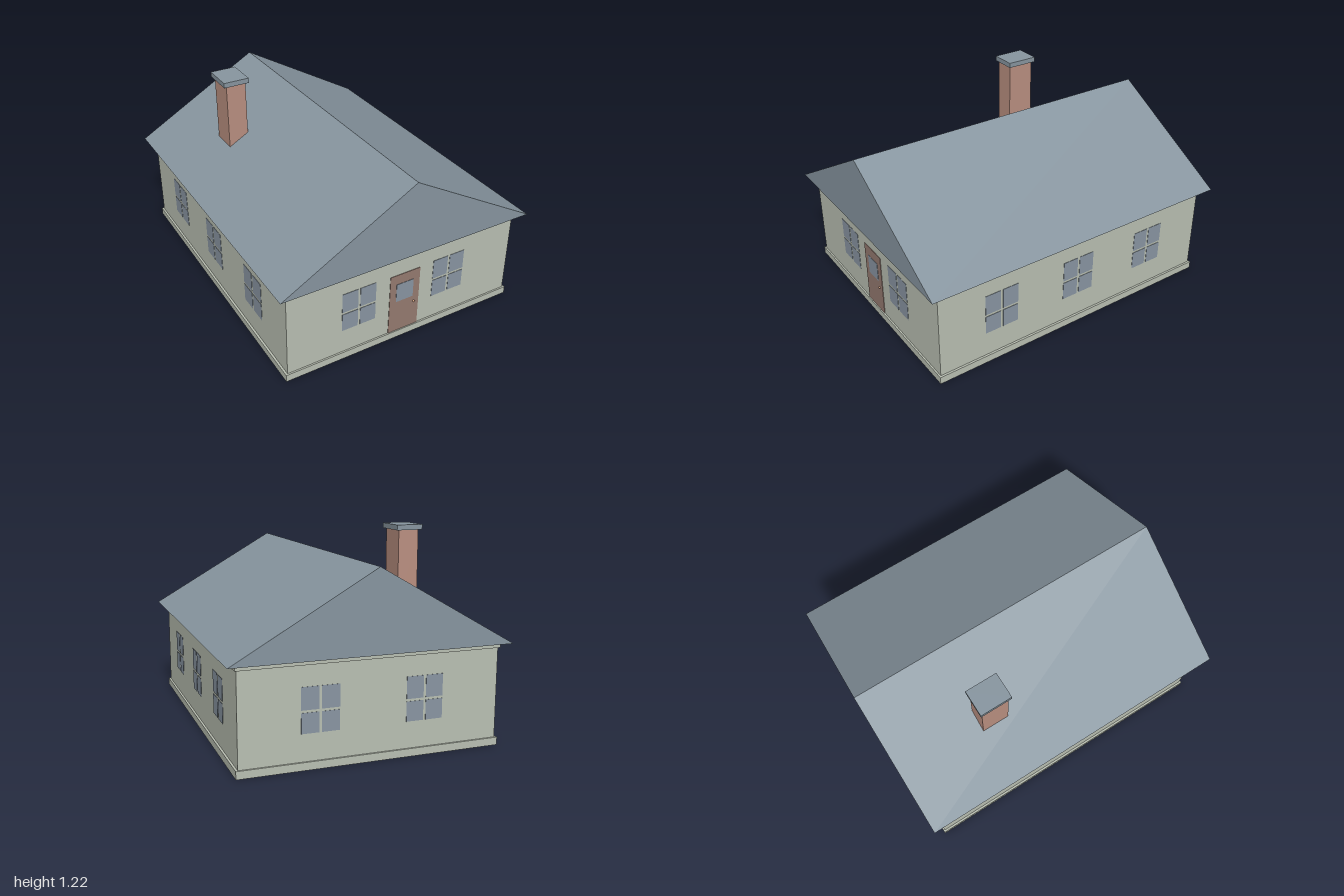
import * as THREE from 'three';

const mat = (name, color) => {
  const m = new THREE.MeshStandardMaterial({ color });
  m.name = name;
  return m;
};

export function createModel() {
  const house = new THREE.Group();
  house.name = 'house';
  const wall = mat('pale sage walls', 0xb9bfb2);
  const slate = mat('slate roof', 0x87959f);
  const brick = mat('chimney brick', 0xb98f80);
  const wood = mat('door wood', 0x957a70);
  const glass = mat('window glass', 0x8995a2);
  const brass = mat('brass', 0xcf9f7c);

  // Box given by its lower and upper limits
  const box = (name, material, [x0, x1], [y0, y1], [z0, z1], parent = house) => {
    const mesh = new THREE.Mesh(new THREE.BoxGeometry(x1 - x0, y1 - y0, z1 - z0), material);
    mesh.position.set((x0 + x1) / 2, (y0 + y1) / 2, (z0 + z1) / 2);
    mesh.name = name;
    parent.add(mesh);
    return mesh;
  };

  // Body: plinth, walls and frieze under the eaves
  box('plinth', wall, [-0.763, 0.763], [0, 0.045], [-0.95, 0.95]);
  box('walls', wall, [-0.75, 0.75], [0.045, 0.567], [-0.94, 0.94]);
  box('frieze', wall, [-0.76, 0.76], [0.567, 0.597], [-0.95, 0.95]);

  // Gabled roof prism
  const gable = new THREE.Shape();
  gable.moveTo(-0.81, 0.597);
  gable.lineTo(0.81, 0.597);
  gable.lineTo(0, 1.06);
  gable.closePath();
  const roofGeometry = new THREE.ExtrudeGeometry(gable, { depth: 2, bevelEnabled: false });
  roofGeometry.translate(0, 0, -1);
  const roof = new THREE.Mesh(roofGeometry, slate);
  roof.name = 'roof';
  house.add(roof);

  // Chimney on the right slope
  box('chimney', brick, [-0.485, -0.36], [0.7, 1.19], [-0.46, -0.29]);
  box('chimneyCap', slate, [-0.503, -0.342], [1.19, 1.221], [-0.475, -0.278]);

  // Four thin panes around a cross of bare wall
  const addWindow = (name, width, x, z, turn) => {
    const group = new THREE.Group();
    group.name = name;
    const w = width / 2, g = 0.007;
    for (const xs of [[-w, -g], [g, w]])
      for (const ys of [[0.198, 0.311], [0.325, 0.45]])
        box('pane', glass, xs, ys, [-0.002, 0.002], group);
    group.position.set(x, 0, z);
    group.rotation.y = turn;
    house.add(group);
  };
  for (const s of [-1, 1]) {
    addWindow('frontWindow', 0.216, s * 0.301, 0.94, 0);
    addWindow('backWindow', 0.216, s * 0.301, -0.94, Math.PI);
    for (const z of [-0.537, 0, 0.537])
      addWindow('sideWindow', 0.216, s * 0.75, z, s * Math.PI / 2);
  }

  // Front door with its light and knob
  box('door', wood, [-0.1, 0.1], [0.045, 0.444], [0.938, 0.943]);
  box('doorLight', glass, [-0.057, 0.057], [0.258, 0.38], [0.94, 0.945]);
  const knob = new THREE.Mesh(new THREE.SphereGeometry(0.007, 12, 8), brass);
  knob.position.set(0.067, 0.217, 0.945);
  knob.name = 'doorKnob';
  house.add(knob);

  return house;
}
